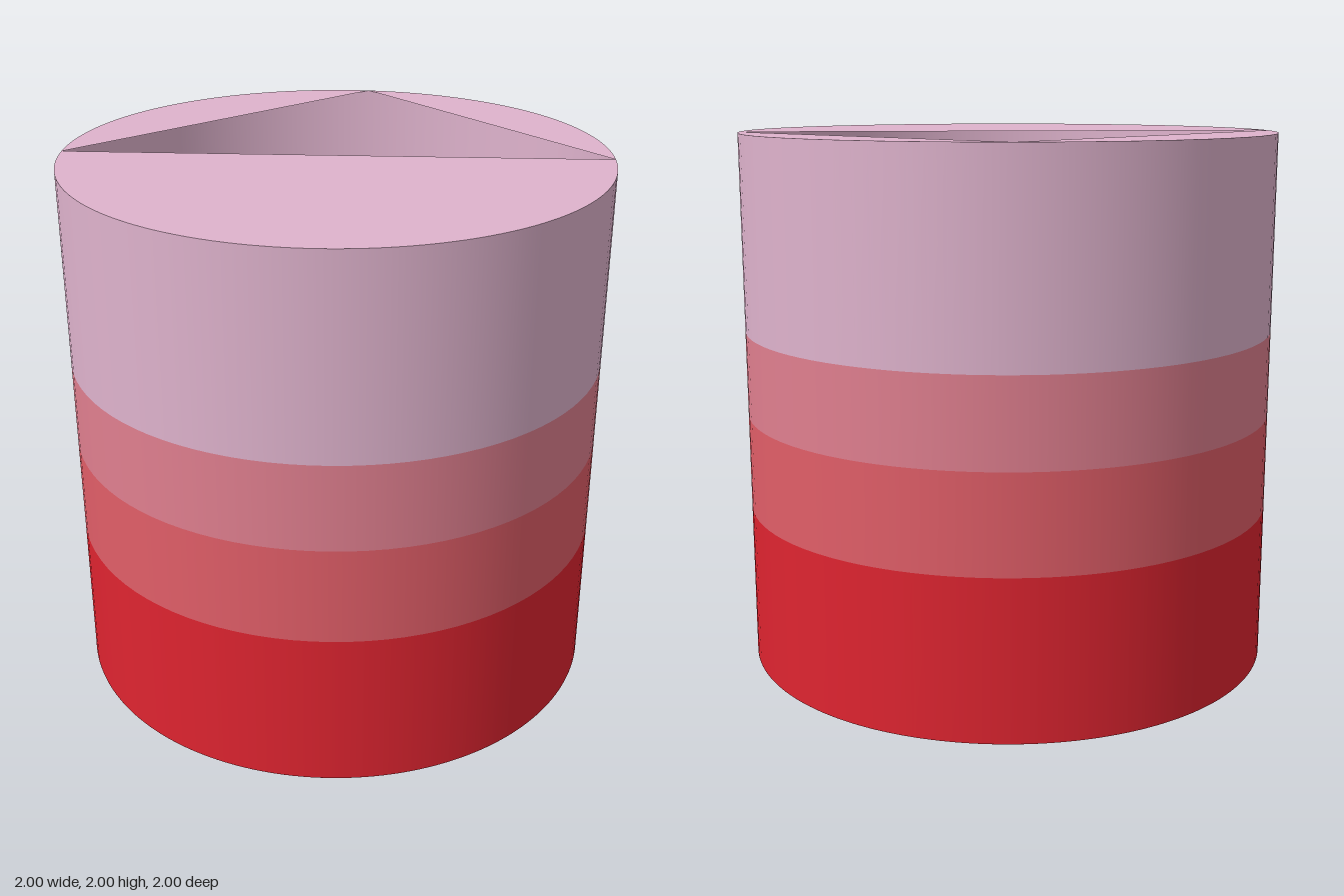
import * as THREE from 'three';
import { mergeGeometries } from 'three/addons/utils/BufferGeometryUtils.js';

const SEGMENTS = 96;

function paint(name, color) {
  const m = new THREE.MeshStandardMaterial({ color, side: THREE.DoubleSide });
  m.name = name;
  return m;
}

// Disc with a triangular opening: three circular segments left around the triangle.
// Corner angles run counter-clockwise seen from above, starting at +x.
function openDisc(cornerDegrees) {
  const corners = cornerDegrees.map(THREE.MathUtils.degToRad);
  const pieces = corners.map((start, i) => {
    const end = i < 2 ? corners[i + 1] : corners[0] + Math.PI * 2;
    const shape = new THREE.Shape();
    shape.absarc(0, 0, 1, start, end, false);
    return new THREE.ShapeGeometry(shape, 48);
  });
  return mergeGeometries(pieces).rotateX(-Math.PI / 2);
}

export function createModel() {
  const model = new THREE.Group();
  model.name = 'bandedDrum';

  const red = paint('red', 0xdf2430);
  const coral = paint('coral', 0xe15e68);
  const rose = paint('rose', 0xe07f8f);
  const pink = paint('pink', 0xdfb3cd);

  const add = (name, geometry, material, y) => {
    const mesh = new THREE.Mesh(geometry, material);
    mesh.name = name;
    mesh.position.y = y;
    model.add(mesh);
  };

  // Hollow wall in four stacked colour bands
  const bands = [
    ['bottomBand', red, 0, 0.59],
    ['lowerMiddleBand', coral, 0.59, 0.95],
    ['upperMiddleBand', rose, 0.95, 1.27],
    ['topBand', pink, 1.27, 2],
  ];
  for (const [name, material, low, high] of bands) {
    const wall = new THREE.CylinderGeometry(1, 1, high - low, SEGMENTS, 1, true);
    add(name, wall, material, (low + high) / 2);
  }

  // Lids with triangular openings
  add('topLid', openDisc([1.8, 87, 181.8]), pink, 2);
  const bottom = openDisc([-1.8, 89.5, 178.2]);
  // Turn the bottom lid to face downwards
  const index = bottom.index;
  for (let i = 0; i < index.count; i += 3) {
    const a = index.getX(i);
    index.setX(i, index.getX(i + 1));
    index.setX(i + 1, a);
  }
  bottom.computeVertexNormals();
  add('bottomLid', bottom, red, 0);

  return model;
}
